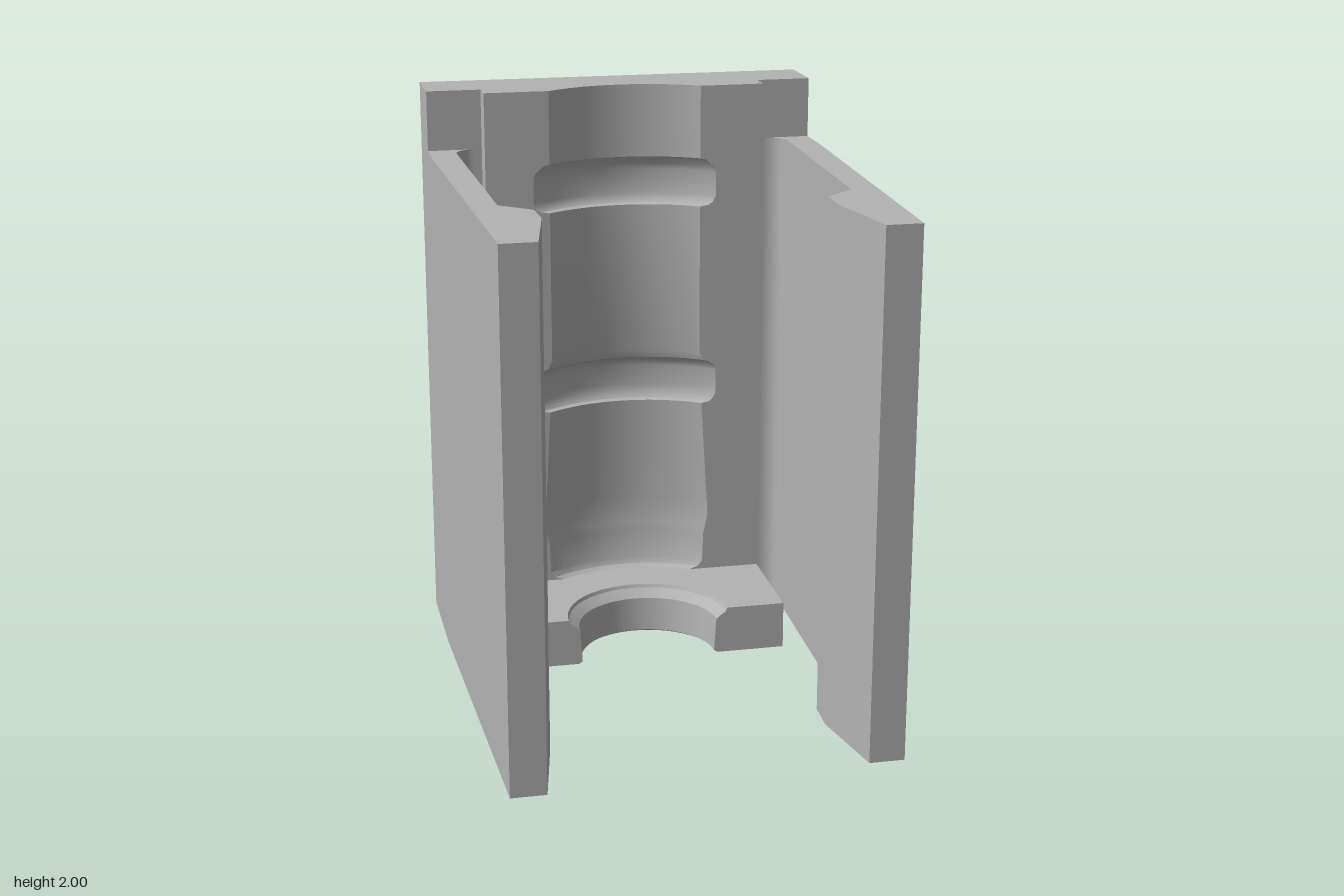
import * as THREE from 'three';
import { toCreasedNormals } from 'three/addons/utils/BufferGeometryUtils.js';

const AXIS = 0.15; // bore axis, as distance behind z = 0

export function createModel() {
  const group = new THREE.Group();
  const grey = new THREE.MeshStandardMaterial({ color: 0xb3b3b3, side: THREE.DoubleSide });
  grey.name = 'plain grey';

  const add = (name, geometry) => {
    const mesh = new THREE.Mesh(geometry, grey);
    mesh.name = name;
    group.add(mesh);
    return mesh;
  };

  // Block with a partial round bore in its front; the bore radius follows levels of [y, radius].
  // frontDist is how far the front face lies behind the bore axis.
  function boredBlock(name, levels, frontDist, r0) {
    const a0 = Math.acos(frontDist / r0);
    const shape = new THREE.Shape();
    const front = AXIS + frontDist;
    shape.moveTo(0.5, front);
    shape.lineTo(0.5, 0.77);
    shape.lineTo(-0.5, 0.77);
    shape.lineTo(-0.5, front);
    for (let i = 0; i <= 40; i++) {
      const a = a0 * (i / 20 - 1);
      shape.lineTo(r0 * Math.sin(a), AXIS + r0 * Math.cos(a));
    }
    const n = levels.length - 1;
    const geo = new THREE.ExtrudeGeometry(shape, { depth: n, steps: n, bevelEnabled: false });
    const p = geo.attributes.position;
    for (let i = 0; i < p.count; i++) {
      const [y, r] = levels[Math.round(p.getZ(i))];
      const x = p.getX(i), s = p.getY(i) - AXIS;
      if (Math.abs(Math.hypot(x, s) - r0) < 1e-4) {
        const a = Math.atan2(x, s) / a0 * Math.acos(frontDist / r);
        p.setXY(i, r * Math.sin(a), AXIS + r * Math.cos(a));
      }
      p.setZ(i, y);
    }
    geo.rotateX(-Math.PI / 2);
    add(name, toCreasedNormals(geo, 0.5));
  }

  // Long socket with two rounded grooves and a flared lower end
  boredBlock('socketBlock', [
    [0.17, 0.462], [0.18, 0.478], [0.2, 0.489], [0.31, 0.491], [0.34, 0.495], [0.38, 0.5],
    [0.44, 0.499], [0.6, 0.493], [0.75, 0.488], [0.825, 0.485], [0.83, 0.502], [0.84, 0.51],
    [0.86, 0.517], [0.88, 0.518], [0.95, 0.518], [0.97, 0.513], [0.985, 0.5], [0.99, 0.488],
    [1.02, 0.48], [1.565, 0.48], [1.57, 0.498], [1.58, 0.508], [1.6, 0.515], [1.69, 0.515],
    [1.71, 0.51], [1.735, 0.492], [1.74, 0.48], [2, 0.48],
  ], 0.395, 0.48);

  // Half-round collar ledge at the foot of the socket
  boredBlock('footLedge', [
    [0, 0.255], [0.008, 0.242], [0.13, 0.25], [0.14, 0.262], [0.158, 0.285], [0.17, 0.29],
  ], 0, 0.27);

  // Back plate with two small round dimples
  const plate = new THREE.Shape();
  plate.moveTo(-0.69, 0);
  plate.lineTo(0.69, 0);
  plate.lineTo(0.69, 2);
  plate.lineTo(-0.69, 2);
  for (const y of [0.84, 1.0]) {
    const hole = new THREE.Path();
    hole.absarc(0.37, y, 0.043, 0, Math.PI * 2, true);
    plate.holes.push(hole);
    const dimple = new THREE.SphereGeometry(0.043, 24, 10, 0, Math.PI * 2, 0, Math.PI / 2);
    dimple.rotateX(Math.PI / 2);
    add('backDimple', dimple).position.set(0.37, y, -0.83);
  }
  const plateGeo = new THREE.ExtrudeGeometry(plate, { depth: 0.06, bevelEnabled: false });
  add('backPlate', plateGeo).position.z = -0.83;

  for (const side of [-1, 1]) {
    // Full-height shoulder beside the socket
    add('backShoulder', new THREE.BoxGeometry(0.19, 2, 0.145)).position.set(side * 0.595, 1, -0.6975);

    // Tapered clip arm with an inward catch
    const arm = new THREE.Shape();
    arm.moveTo(side * 0.69, 0.625);
    arm.lineTo(side * 0.69, 0.45);
    arm.lineTo(side * 0.65, -0.82);
    for (const [x, z] of [[0.53, 0.82], [0.47, 0.51], [0.475, 0.39], [0.577, 0.3], [0.597, -0.56]]) {
      arm.lineTo(side * x, -z);
    }
    arm.bezierCurveTo(side * 0.597, 0.596, side * 0.568, 0.625, side * 0.53, 0.625);
    const armGeo = new THREE.ExtrudeGeometry(arm, { depth: 1.79, bevelEnabled: false, curveSegments: 12 });
    armGeo.rotateX(-Math.PI / 2);
    add(side > 0 ? 'leftArm' : 'rightArm', toCreasedNormals(armGeo, 0.3));
  }
  return group;
}
